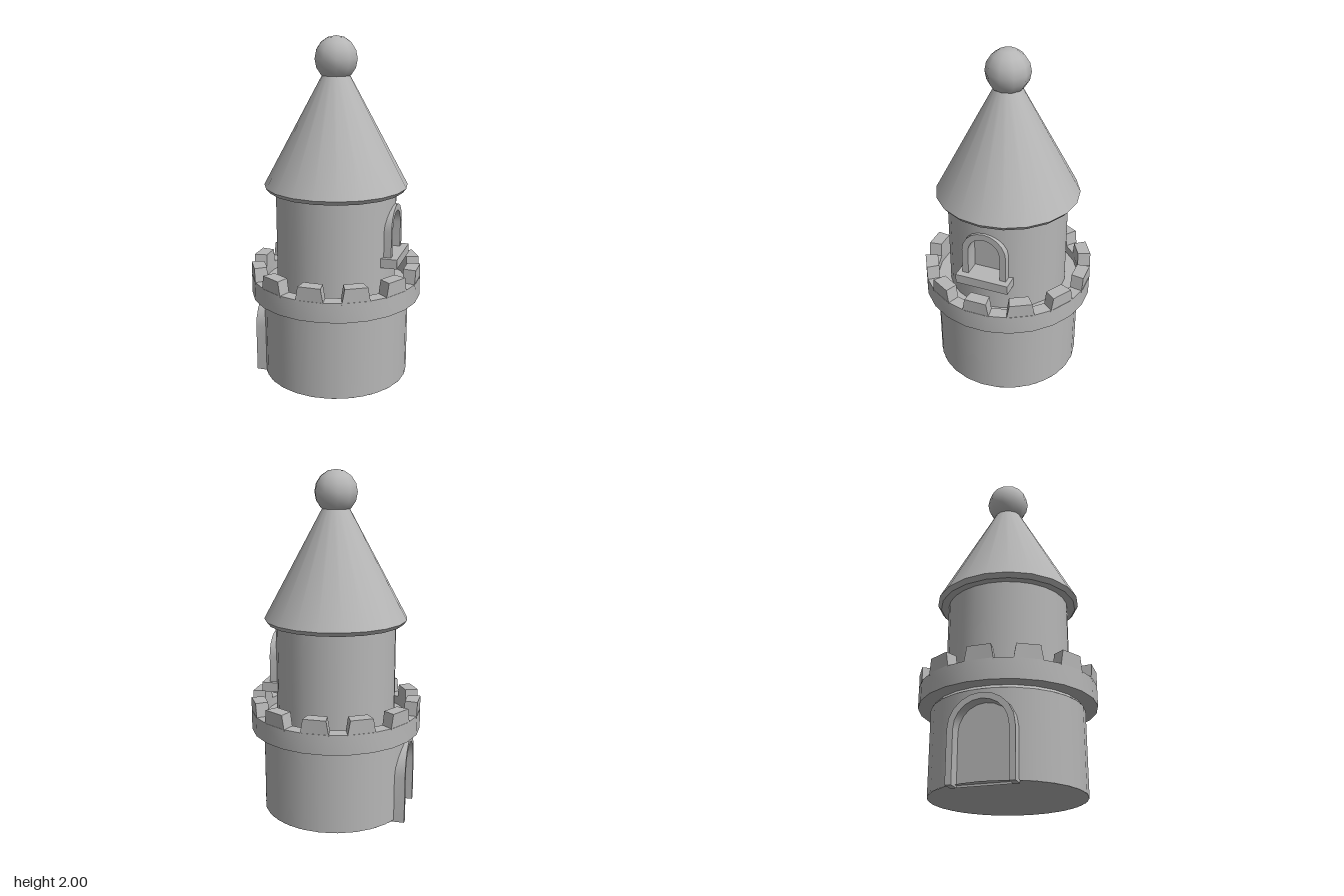
import * as THREE from 'three';
import { toCreasedNormals } from 'three/addons/utils/BufferGeometryUtils.js';

const stone = new THREE.MeshStandardMaterial({ color: 0xb6b6b6, side: THREE.DoubleSide });
stone.name = 'grey stone';

function add(parent, name, geometry) {
  const mesh = new THREE.Mesh(geometry, stone);
  mesh.name = name;
  parent.add(mesh);
  return mesh;
}

function lathe(points, segments, start = 0) {
  const profile = points.map(([x, y]) => new THREE.Vector2(x, y));
  return toCreasedNormals(new THREE.LatheGeometry(profile, segments, start), 0.6);
}

// Round wall with an arched opening facing +x
function archedWall(r, y0, y1, half, sill, spring) {
  const pos = [], nor = [];
  const edge = Math.asin(half / r);
  const put = (a, y) => {
    pos.push(r * Math.cos(a), y, -r * Math.sin(a));
    nor.push(Math.cos(a), 0, -Math.sin(a));
  };
  const quad = (a, b, la, lb, ta, tb) => {
    put(a, la); put(b, lb); put(b, tb);
    put(a, la); put(b, tb); put(a, ta);
  };
  const top = (a) => spring + Math.sqrt(Math.max(0, half ** 2 - (r * Math.sin(a)) ** 2));
  for (let i = 0; i < 12; i++) {
    const a = edge * (i / 6 - 1), b = edge * ((i + 1) / 6 - 1);
    quad(a, b, top(a), top(b), y1, y1);
    if (sill > y0) quad(a, b, y0, y0, sill, sill);
  }
  const step = (2 * Math.PI - 2 * edge) / 24;
  for (let i = 0; i < 24; i++) {
    quad(edge + i * step, edge + (i + 1) * step, y0, y0, y1, y1);
  }
  const g = new THREE.BufferGeometry();
  g.setAttribute('position', new THREE.Float32BufferAttribute(pos, 3));
  g.setAttribute('normal', new THREE.Float32BufferAttribute(nor, 3));
  return g;
}

// Frame and recessed panel of an arched opening, facing +x
function archSet(name, inner, outer, y0, spring, back, front) {
  const group = new THREE.Group();
  group.name = name;
  const frame = new THREE.Shape();
  frame.moveTo(outer, y0);
  frame.lineTo(outer, spring);
  frame.absarc(0, spring, outer, 0, Math.PI, false);
  frame.lineTo(-outer, y0);
  frame.lineTo(-inner, y0);
  frame.lineTo(-inner, spring);
  frame.absarc(0, spring, inner, Math.PI, 0, true);
  frame.lineTo(inner, y0);
  const frameGeo = new THREE.ExtrudeGeometry(frame, {
    depth: front - back, bevelEnabled: false, curveSegments: 5,
  }).translate(0, 0, back).rotateY(Math.PI / 2);
  add(group, name + 'Frame', toCreasedNormals(frameGeo, 0.7));

  const panel = new THREE.Shape();
  panel.moveTo(-outer, y0);
  panel.lineTo(outer, y0);
  panel.lineTo(outer, spring);
  panel.absarc(0, spring, outer, 0, Math.PI, false);
  add(group, name + 'Panel', new THREE.ShapeGeometry(panel, 8)
    .translate(0, 0, back + 0.002).rotateY(Math.PI / 2));
  return group;
}

// Tapered battlement block centred on an angle
function merlonGeometry(angle) {
  const g = new THREE.BoxGeometry(1, 1, 1);
  const p = g.attributes.position;
  for (let i = 0; i < p.count; i++) {
    const upper = p.getY(i) > 0;
    const a = angle + 2 * p.getX(i) * THREE.MathUtils.degToRad(upper ? 7.5 : 9.3);
    const r = p.getZ(i) > 0 ? 0.5 : 0.425;
    p.setXYZ(i, r * Math.sin(a), upper ? 0.7 : 0.61, r * Math.cos(a));
  }
  g.computeVertexNormals();
  return g;
}

export function createModel() {
  const model = new THREE.Group();
  model.name = 'castleTower';

  // Lower storey, with its doorway on the right
  const base = new THREE.Group();
  base.name = 'lowerStorey';
  base.rotation.y = Math.PI;
  add(base, 'lowerWall', archedWall(0.43, 0.012, 0.485, 0.165, 0.012, 0.28));
  add(base, 'floor', new THREE.CircleGeometry(0.43, 24).rotateX(Math.PI / 2).translate(0, 0.012, 0));
  base.add(archSet('door', 0.147, 0.18, 0, 0.28, 0.375, 0.45));
  model.add(base);

  // Battlement ring and walkway
  const battlement = new THREE.Group();
  battlement.name = 'battlement';
  add(battlement, 'battlementRing', lathe([
    [0.43, 0.485], [0.415, 0.505], [0.5, 0.505], [0.5, 0.62],
    [0.425, 0.62], [0.425, 0.57], [0.33, 0.57],
  ], 24, Math.PI / 24));
  for (let i = 0; i < 12; i++) {
    add(battlement, 'merlon', merlonGeometry((i * Math.PI) / 6));
  }
  model.add(battlement);

  // Upper storey, with its window on the left
  const upper = new THREE.Group();
  upper.name = 'upperStorey';
  add(upper, 'upperWall', archedWall(0.35, 0.5, 1.15, 0.115, 0.76, 0.935));
  upper.add(archSet('window', 0.095, 0.132, 0.77, 0.935, 0.27, 0.365));
  add(upper, 'windowSill', new THREE.BoxGeometry(0.135, 0.055, 0.315).translate(0.3375, 0.758, 0));
  model.add(upper);

  // Pointed roof with a ball on top
  add(model, 'roof', lathe([
    [0, 1.135], [0.395, 1.135], [0.415, 1.16], [0.075, 1.79], [0, 1.79],
  ], 20));
  add(model, 'roofBall', new THREE.SphereGeometry(0.125, 10, 8).translate(0, 1.875, 0));

  return model;
}
